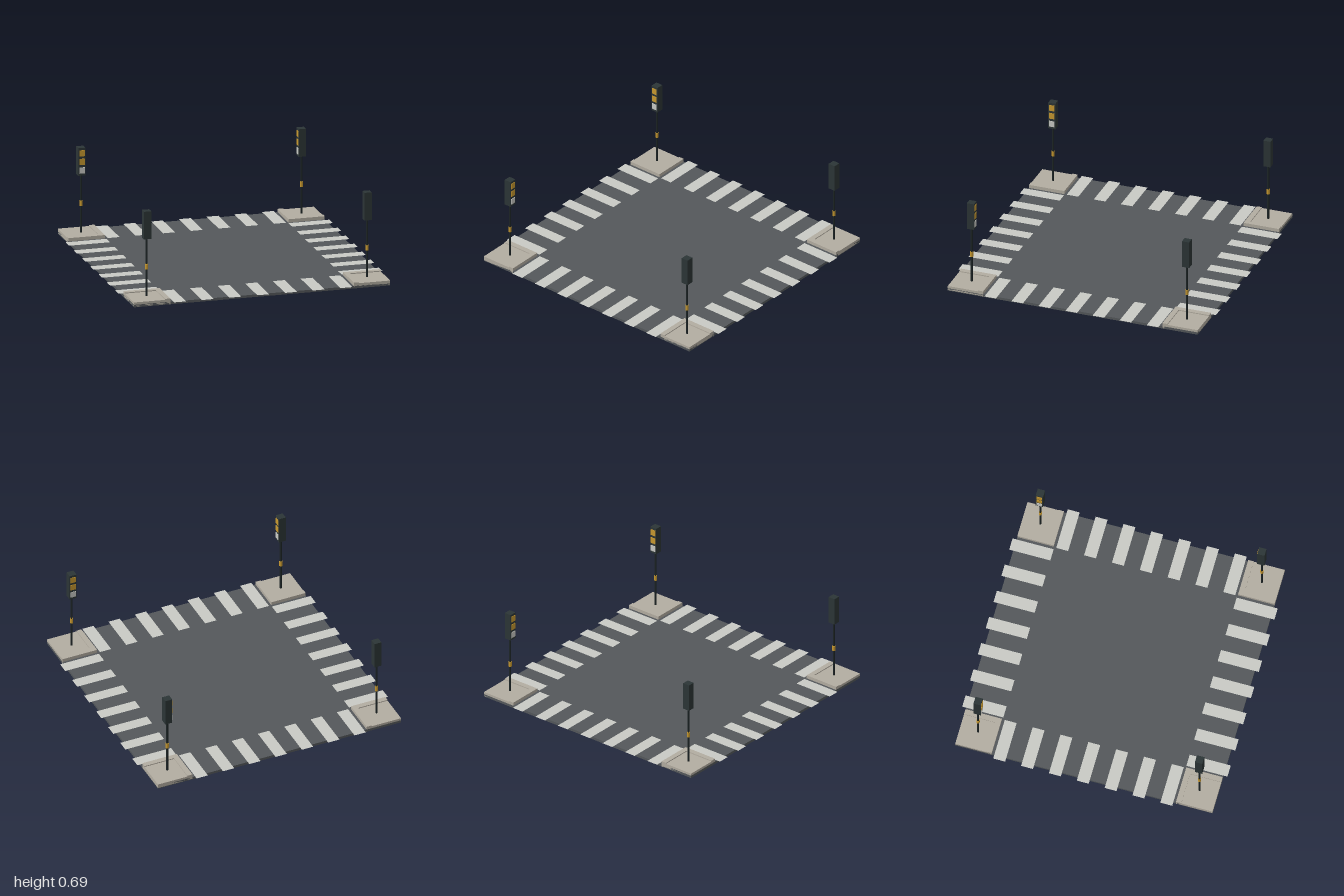
import * as THREE from 'three';

const mat = (name, color, side = THREE.FrontSide) => {
  const m = new THREE.MeshStandardMaterial({ color, side });
  m.name = name;
  return m;
};

export function createModel() {
  const asphalt = mat('asphalt', 0x54585b);
  const paint = mat('roadPaint', 0xc9cac5, THREE.DoubleSide);
  const concrete = mat('concrete', 0xb3ada1);
  const poleDark = mat('poleDark', 0x1d2526);
  const housingDark = mat('housingDark', 0x2c3536);
  const amber = mat('amber', 0xc8992f);
  const paleLens = mat('paleLens', 0xc9cac5);

  const root = new THREE.Group();
  root.name = 'intersection';

  const add = (parent, name, geo, material, x, y, z) => {
    const mesh = new THREE.Mesh(geo, material);
    mesh.name = name;
    mesh.position.set(x, y, z);
    parent.add(mesh);
    return mesh;
  };
  // Box given by its centre in x and z and its bottom and top heights
  const slab = (parent, name, material, x, z, w, d, y0, y1) =>
    add(parent, name, new THREE.BoxGeometry(w, y1 - y0, d), material, x, (y0 + y1) / 2, z);

  slab(root, 'road', asphalt, 0, 0, 1.94, 1.94, 0.001, 0.02);

  // One side of the crossing and one corner, repeated by quarter turns
  for (let k = 0; k < 4; k++) {
    const quarter = new THREE.Group();
    quarter.name = `quarter${k + 1}`;
    quarter.rotation.y = k * Math.PI / 2;
    root.add(quarter);

    // Crosswalk stripes overhang the road edge slightly
    const stripeGeo = new THREE.PlaneGeometry(0.09, 0.31).rotateX(-Math.PI / 2);
    for (let i = -3; i <= 3; i++) add(quarter, 'crosswalkStripe', stripeGeo, paint, i * 0.21, 0.022, 0.845);

    // Raised pavement with a higher kerb on its two inner sides
    const corner = new THREE.Group();
    corner.name = 'pavementCorner';
    quarter.add(corner);
    slab(corner, 'pavement', concrete, -0.8525, 0.8525, 0.235, 0.235, 0.006, 0.038);
    slab(corner, 'kerbSide', concrete, -0.715, 0.8325, 0.04, 0.275, 0.006, 0.045);
    slab(corner, 'kerbEnd', concrete, -0.8525, 0.715, 0.235, 0.04, 0.006, 0.045);
    // Thin footing lines showing on the underside
    slab(corner, 'footingSide', concrete, -0.699, 0.8325, 0.008, 0.275, 0, 0.04);
    slab(corner, 'footingEnd', concrete, -0.8325, 0.699, 0.275, 0.008, 0, 0.04);

    // Traffic light, its lenses facing along the road edge
    const light = new THREE.Group();
    light.name = 'trafficLight';
    light.position.set(-0.835, 0, 0.835);
    quarter.add(light);
    add(light, 'pole', new THREE.CylinderGeometry(0.008, 0.008, 0.46, 10), poleDark, 0, 0.26, 0);
    add(light, 'poleBand', new THREE.CylinderGeometry(0.012, 0.012, 0.04, 10), amber, 0, 0.26, 0);
    slab(light, 'housing', housingDark, 0, 0, 0.055, 0.055, 0.475, 0.685);
    [amber, amber, paleLens].forEach((lens, i) =>
      add(light, 'lens', new THREE.BoxGeometry(0.008, 0.046, 0.04), lens, 0.0275, 0.645 - i * 0.065, 0));
  }
  return root;
}
